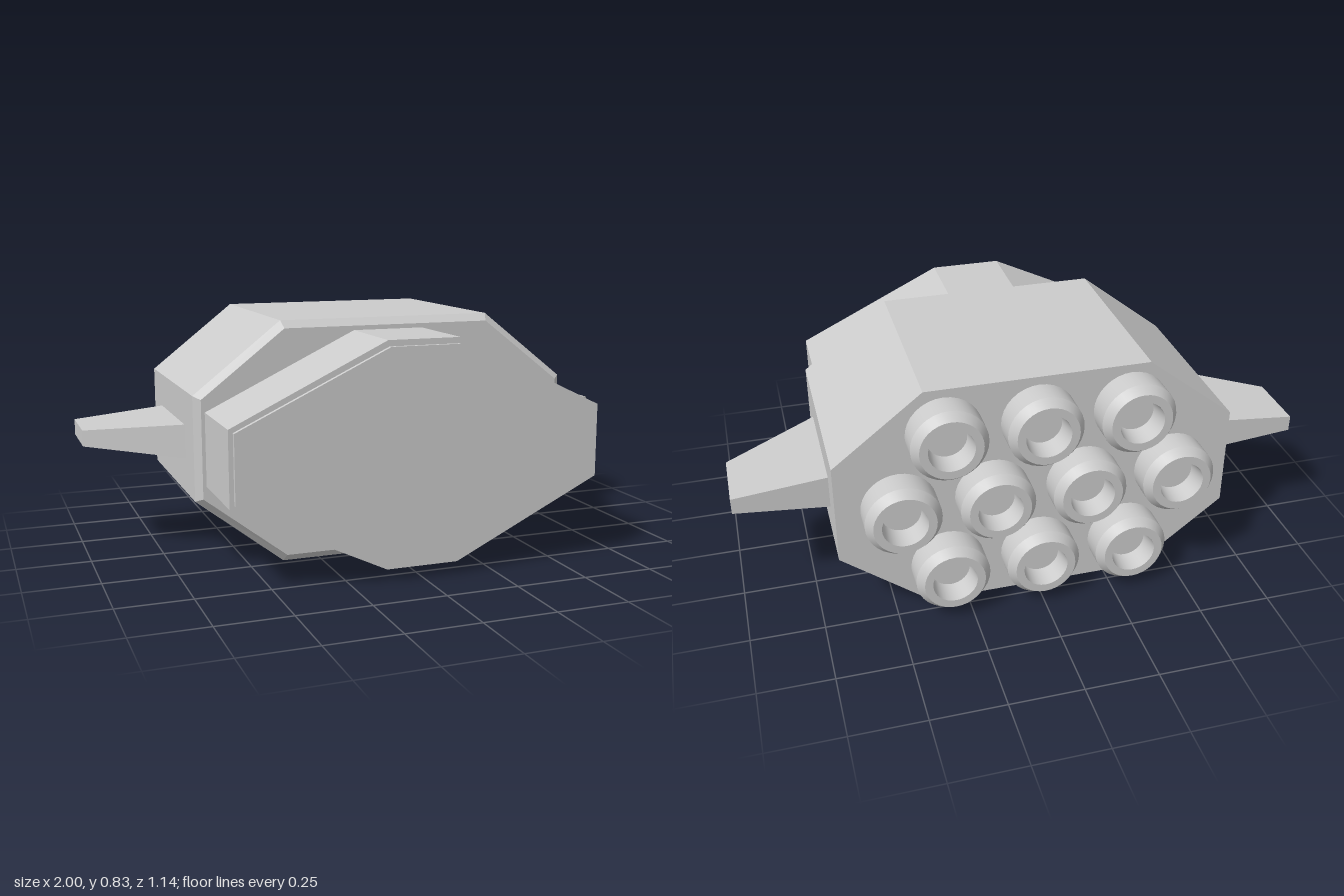
import * as THREE from 'three';
import { toCreasedNormals } from 'three/addons/utils/BufferGeometryUtils.js';

const CY = 0.415; // height of the long axis

// Skin a stack of convex rings, capped at both ends, with flat faces
function loft(rings) {
  const pos = [];
  const tri = (...pts) => pts.forEach((p) => pos.push(...p));
  const n = rings[0].length;
  for (let r = 0; r < rings.length - 1; r++) {
    const a = rings[r], b = rings[r + 1];
    for (let i = 0; i < n; i++) {
      const j = (i + 1) % n;
      tri(a[i], a[j], b[j]);
      tri(a[i], b[j], b[i]);
    }
  }
  const first = rings[0], last = rings[rings.length - 1];
  for (let i = 1; i < n - 1; i++) {
    tri(first[0], first[i + 1], first[i]);
    tri(last[0], last[i], last[i + 1]);
  }
  const g = new THREE.BufferGeometry();
  g.setAttribute('position', new THREE.Float32BufferAttribute(pos, 3));
  g.computeVertexNormals();
  return g;
}

// Octagon: half width w, half height h, half flat top t, half flat side s
const octagon = (z, w, h, t, s) =>
  [[w, -s], [w, s], [t, h], [-t, h], [-w, s], [-w, -s], [-t, -h], [t, -h]]
    .map(([x, y]) => [x, CY + y, z]);

// Fin section at x, running from zBack to zFront with half thickness h
const finRing = (x, zBack, zFront, h) =>
  [[zFront, -h], [zBack, -h], [zBack, h], [zFront, h]].map(([z, y]) => [x, CY + y, z]);

export function createModel() {
  const model = new THREE.Group();
  model.name = 'engineBlock';
  const grey = new THREE.MeshStandardMaterial({ color: 0xcccccc });
  const add = (name, geometry, parent = model) => {
    const mesh = new THREE.Mesh(geometry, grey);
    mesh.name = name;
    parent.add(mesh);
    return mesh;
  };

  // Main hull with a chamfered front edge
  add('hull', loft([
    octagon(-0.455, 0.68, 0.415, 0.378, 0.178),
    octagon(0.222, 0.68, 0.415, 0.378, 0.178),
    octagon(0.245, 0.657, 0.39, 0.37, 0.167),
  ]));

  // Narrower front section and its thin end plate
  add('frontSection', loft([
    octagon(0.24, 0.645, 0.375, 0.125, 0.125),
    octagon(0.555, 0.645, 0.375, 0.125, 0.125),
  ]));
  add('endPlate', loft([
    octagon(0.55, 0.63, 0.355, 0.12, 0.114),
    octagon(0.57, 0.63, 0.355, 0.12, 0.114),
  ]));

  // Tapered side fins
  const root = [-0.315, 0.088, 0.059], tip = [-0.315, -0.088, 0.028];
  add('leftFin', loft([finRing(0.675, ...root), finRing(1, ...tip)]));
  add('rightFin', loft([finRing(-1, ...tip), finRing(-0.675, ...root)]));

  // Hollow thruster nozzles, staggered 3-4-3 across the rear
  const profile = [[0.127, 0], [0.127, 0.085], [0.104, 0.115], [0.076, 0.115], [0.066, 0.04], [0, 0.04]]
    .map(([r, y]) => new THREE.Vector2(r, y));
  const nozzle = toCreasedNormals(new THREE.LatheGeometry(profile, 32), 0.5);
  nozzle.rotateX(-Math.PI / 2);
  const nozzles = new THREE.Group();
  nozzles.name = 'nozzles';
  model.add(nozzles);
  [3, 4, 3].forEach((count, row) => {
    for (let i = 0; i < count; i++) {
      add('nozzle', nozzle, nozzles)
        .position.set((i - (count - 1) / 2) * 0.314, CY + (1 - row) * 0.26, -0.455);
    }
  });

  return model;
}
